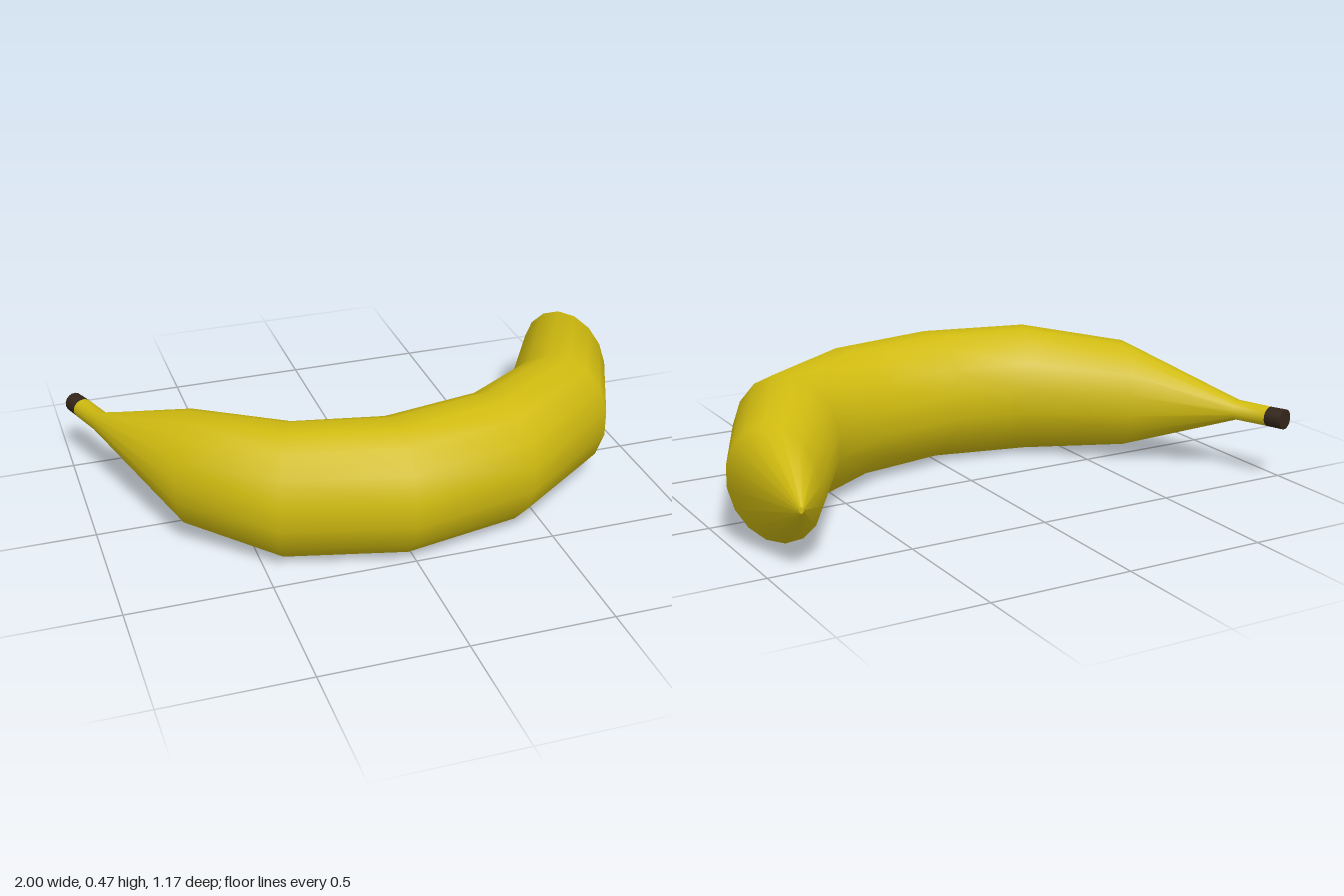
import * as THREE from 'three';

const SIDES = 16;
const MID_Y = 0.237;

// Skin through elliptical rings: [outer x, outer z, inner x, inner z, half height]
function loft(rings, color, name, capStart, capEnd) {
  const pos = [], index = [];
  const grow = 1 / Math.cos(Math.PI / SIDES);
  const addRing = ([ox, oz, ix, iz, h]) => {
    const start = pos.length / 3;
    for (let j = 0; j < SIDES; j++) {
      const a = ((j + 0.5) / SIDES) * Math.PI * 2;
      const c = Math.cos(a) * grow / 2, s = Math.sin(a) * grow;
      pos.push((ox + ix) / 2 + (ox - ix) * c, MID_Y + h * s, (oz + iz) / 2 + (oz - iz) * c);
    }
    return start;
  };
  const starts = rings.map(addRing);
  for (let i = 0; i < starts.length - 1; i++) {
    for (let j = 0; j < SIDES; j++) {
      const k = (j + 1) % SIDES, a = starts[i], b = starts[i + 1];
      index.push(a + j, b + j, a + k, a + k, b + j, b + k);
    }
  }
  // Flat end caps with their own vertices, so the rim stays sharp
  const cap = (ring, flip) => {
    const s = addRing(ring);
    for (let j = 1; j < SIDES - 1; j++) {
      if (flip) index.push(s, s + j + 1, s + j);
      else index.push(s, s + j, s + j + 1);
    }
  };
  if (capStart) cap(rings[0], false);
  if (capEnd) cap(rings[rings.length - 1], true);

  const geo = new THREE.BufferGeometry();
  geo.setAttribute('position', new THREE.Float32BufferAttribute(pos, 3));
  geo.setIndex(index);
  geo.computeVertexNormals();
  const mesh = new THREE.Mesh(geo, new THREE.MeshStandardMaterial({ color }));
  mesh.name = name;
  return mesh;
}

export function createModel() {
  const group = new THREE.Group();
  group.name = 'banana';

  const stemJoint = [-0.98, -0.49, -0.91, -0.513, 0.035];

  // Curved peel from the stem to the pointed blossom end
  group.add(loft([
    stemJoint,
    [-0.935, -0.365, -0.865, -0.39, 0.036],
    [-0.75, 0.2, -0.59, -0.15, 0.193],
    [-0.47, 0.465, -0.305, 0.1, 0.233],
    [-0.025, 0.582, -0.03, 0.15, 0.233],
    [0.425, 0.49, 0.29, 0.095, 0.233],
    [0.825, 0.2, 0.54, -0.05, 0.233],
    [0.998, -0.18, 0.8, -0.485, 0.188],
    [0.925, -0.588, 0.91, -0.59, 0.01],
  ], 0xd0bb10, 'peel', false, true));

  // Dark cut end of the stem
  group.add(loft([
    [-1.0, -0.55, -0.935, -0.57, 0.036],
    stemJoint,
  ], 0x33251a, 'stemTip', true, false));

  return group;
}
